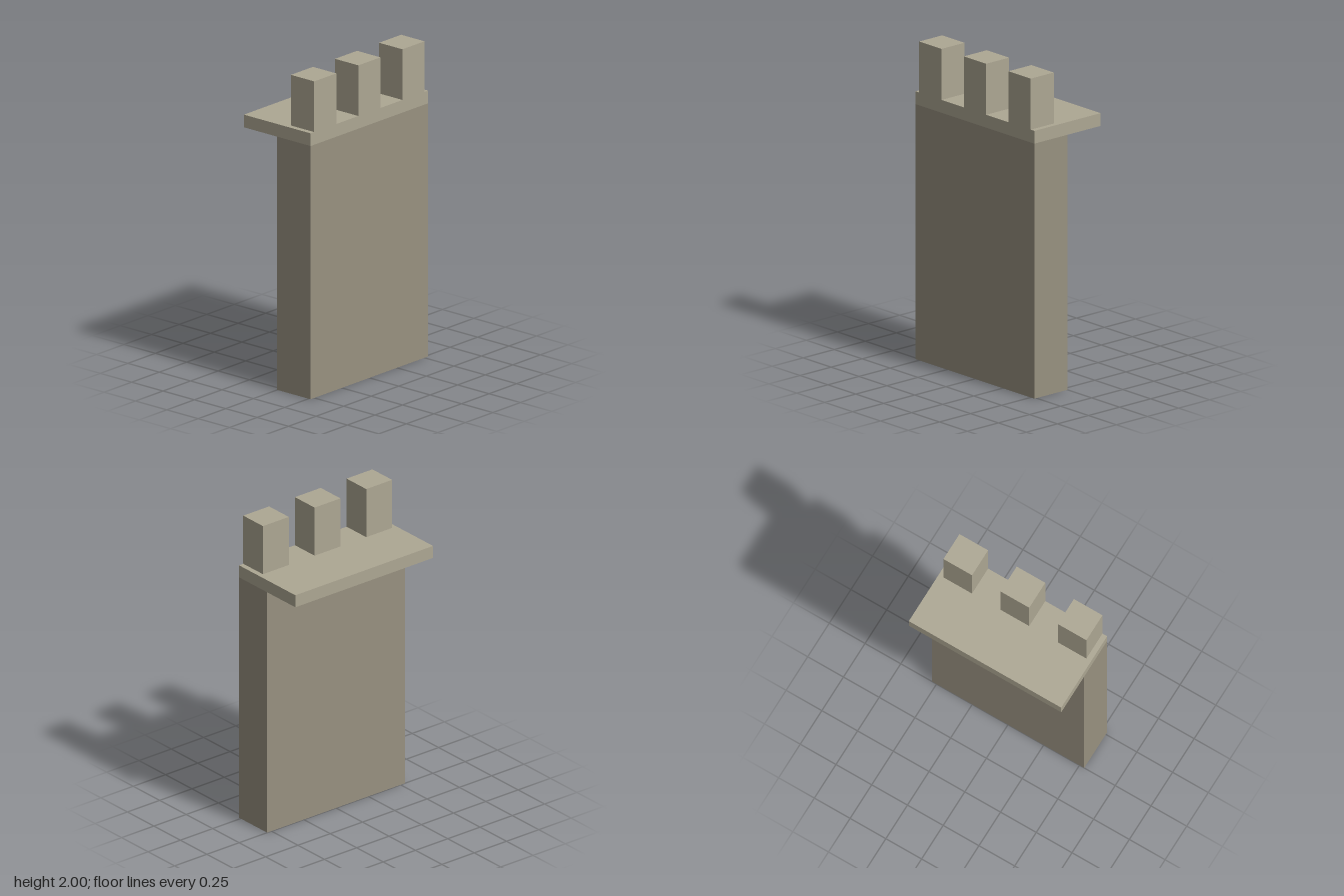
import * as THREE from 'three';

const DEPTH = 1.066;   // length of the wall along z
const OUTER = 0.266;   // outer face shared by wall, walkway and merlons

// Box given by its x and y ranges, its z centre and its z length
function block(name, material, [x0, x1], [y0, y1], z, length) {
  const mesh = new THREE.Mesh(new THREE.BoxGeometry(x1 - x0, y1 - y0, length), material);
  mesh.position.set((x0 + x1) / 2, (y0 + y1) / 2, z);
  mesh.name = name;
  return mesh;
}

export function createModel() {
  const group = new THREE.Group();
  group.name = 'battlementWall';

  const wallStone = new THREE.MeshStandardMaterial({ color: 0x989180 });
  const trimStone = new THREE.MeshStandardMaterial({ color: 0xada793 });

  // Main wall, and the walkway overhanging its inner side
  group.add(block('wall', wallStone, [0, OUTER], [0, 1.6], 0, DEPTH));
  group.add(block('walkway', trimStone, [-OUTER, OUTER], [1.6, 1.68], 0, DEPTH));

  // Merlons along the outer edge
  const merlons = new THREE.Group();
  merlons.name = 'merlons';
  for (const z of [-0.4, 0, 0.4]) {
    merlons.add(block('merlon', trimStone, [0.08, OUTER], [1.68, 2], z, 0.2));
  }
  group.add(merlons);

  return group;
}
